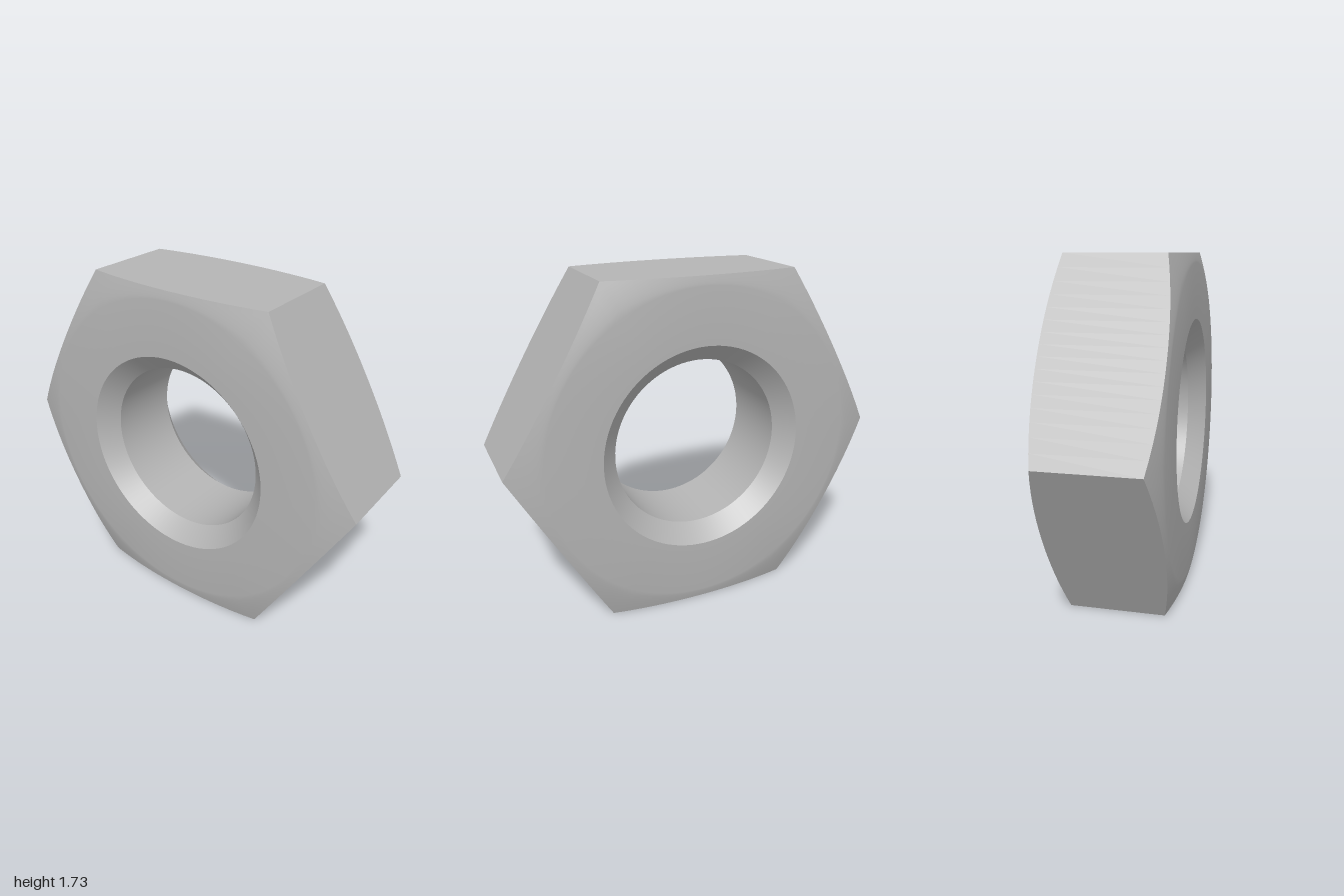
import * as THREE from 'three';
import { toCreasedNormals } from 'three/addons/utils/BufferGeometryUtils.js';

const APOTHEM = Math.sqrt(3) / 2; // corner radius is 1
const HALF_DEPTH = 0.293;
const HOLE = 0.445;
const SINK = 0.535;
const CHAMFER = 0.82; // radius where the face begins to fall away
const SEGMENTS = 96;

// Distance from the axis to the hexagon at an angle, corners on the x axis
const hexRadius = (a) => APOTHEM / Math.cos((a % (Math.PI / 3)) - Math.PI / 6);

// Height of the end faces: flat, then a turned chamfer cutting the corners
const faceHeight = (r) => {
  const t = Math.max(0, (r - CHAMFER) / (1 - CHAMFER));
  return HALF_DEPTH - 0.053 * Math.pow(t, 1.25);
};

// Closed [radius, z] cross-section at an angle: bore edge, countersink, face, flat, and mirrored back
function crossSection(a) {
  const edge = hexRadius(a);
  const front = [[HOLE, HALF_DEPTH - 0.095], [SINK, HALF_DEPTH]];
  for (let k = 0; k <= 5; k++) {
    const r = CHAMFER + (edge - CHAMFER) * (k / 5);
    front.push([r, faceHeight(r)]);
  }
  const back = front.map(([r, z]) => [r, -z]).reverse();
  return [...front, ...back];
}

function nutGeometry() {
  const positions = [];
  const indices = [];
  let count = 0;
  for (let i = 0; i < SEGMENTS; i++) {
    const a = (i / SEGMENTS) * Math.PI * 2;
    const section = crossSection(a);
    count = section.length;
    for (const [r, z] of section) positions.push(r * Math.cos(a), r * Math.sin(a), z);
  }
  for (let i = 0; i < SEGMENTS; i++) {
    const next = (i + 1) % SEGMENTS;
    for (let j = 0; j < count; j++) {
      const k = (j + 1) % count;
      const p = i * count + j, q = i * count + k;
      const s = next * count + j, t = next * count + k;
      indices.push(p, q, s, q, t, s);
    }
  }
  const geometry = new THREE.BufferGeometry();
  geometry.setAttribute('position', new THREE.Float32BufferAttribute(positions, 3));
  geometry.setIndex(indices);
  return toCreasedNormals(geometry, 0.5);
}

export function createModel() {
  const steel = new THREE.MeshStandardMaterial({ color: 0xb4b4b4 });
  steel.name = 'steel grey';

  const nut = new THREE.Mesh(nutGeometry(), steel);
  nut.name = 'hexNut';
  nut.position.y = APOTHEM; // stands on one flat

  const model = new THREE.Group();
  model.name = 'nut';
  model.add(nut);
  return model;
}
